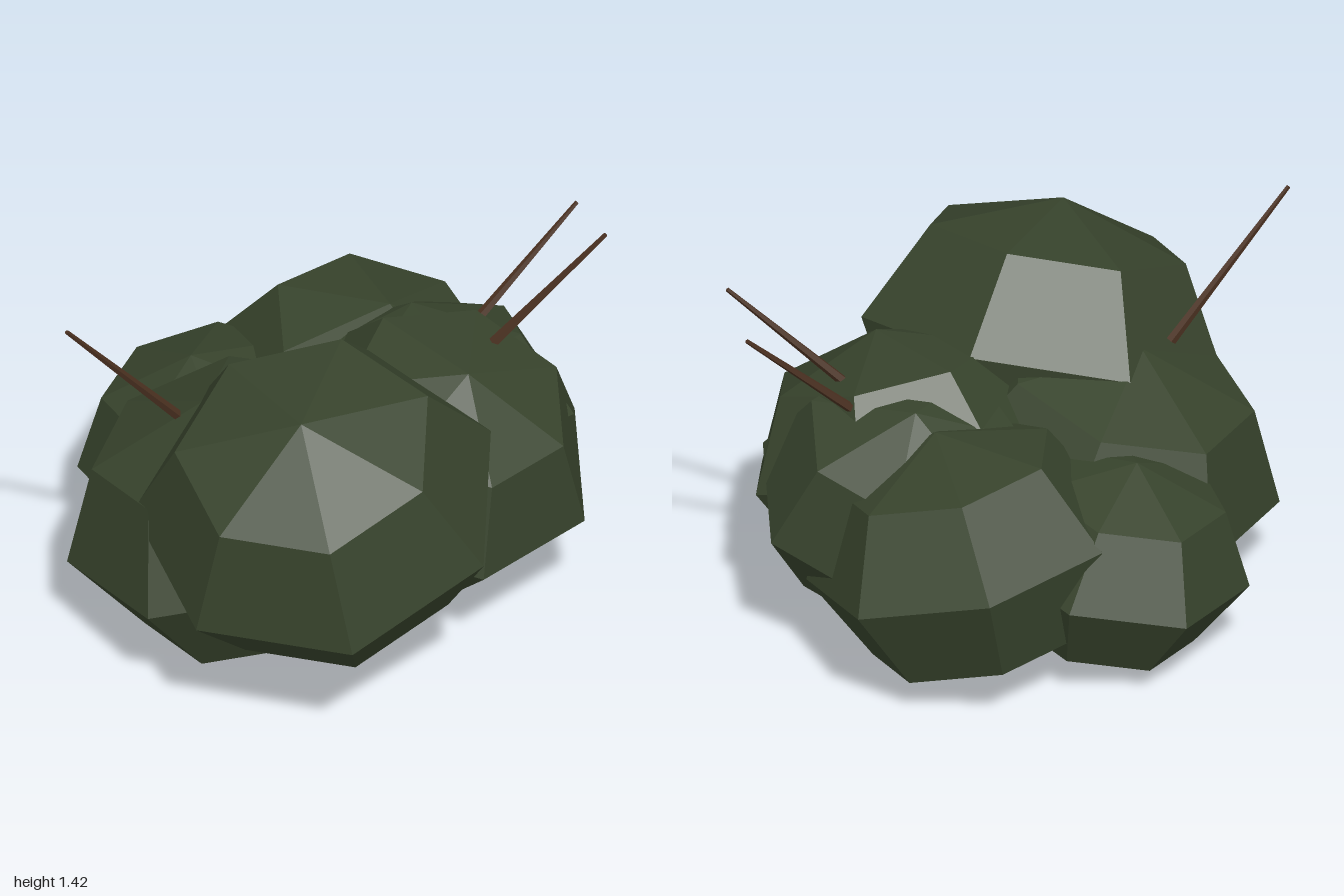
import * as THREE from 'three';

const leaf = new THREE.MeshStandardMaterial({ color: 0x37432c });
leaf.name = 'darkGreenLeaf';
const bark = new THREE.MeshStandardMaterial({ color: 0x4a3020 });
bark.name = 'brownBark';

// Faceted mesh: split faces so that each one is shaded flat
function facetedMesh(name, geometry, material) {
  const flat = geometry.toNonIndexed();
  flat.computeVertexNormals();
  const mesh = new THREE.Mesh(flat, material);
  mesh.name = name;
  return mesh;
}

// Foliage clump: a squashed seven-sided, four-tier ball, tilted along its axis, with a corner toward "corner"
function clump({ name, center, axis, corner, radius, height }) {
  const up = new THREE.Vector3(...axis).normalize();
  const side = new THREE.Vector3(...corner).projectOnPlane(up).normalize();
  const depth = new THREE.Vector3().crossVectors(side, up);
  const matrix = new THREE.Matrix4()
    .makeBasis(side, up, depth)
    .scale(new THREE.Vector3(radius, height, radius))
    .setPosition(...center);
  const geometry = new THREE.SphereGeometry(1, 7, 4).rotateY(Math.PI).applyMatrix4(matrix);
  return facetedMesh(name, geometry, leaf);
}

// Bare twig: a thin tapered stick between two points
function twig(name, base, tip) {
  const a = new THREE.Vector3(...base);
  const b = new THREE.Vector3(...tip);
  const geometry = new THREE.CylinderGeometry(0.008, 0.019, a.distanceTo(b), 5);
  const mesh = facetedMesh(name, geometry, bark);
  mesh.position.copy(a).lerp(b, 0.5);
  mesh.quaternion.setFromUnitVectors(new THREE.Vector3(0, 1, 0), b.sub(a).normalize());
  return mesh;
}

export function createModel() {
  const bush = new THREE.Group();
  bush.name = 'bush';

  const clumps = [
    { name: 'frontRightClump', center: [-0.37, 0.715, 0.37], axis: [-0.33, 0.92, 0.18], corner: [0.215, -0.06, 0.6], radius: 0.65, height: 0.495 },
    { name: 'frontLeftClump', center: [0.3, 0.56, 0.235], axis: [0, 0.93, 0.37], corner: [-0.05, 0.37, -0.93], radius: 0.565, height: 0.435 },
    { name: 'middleLeftClump', center: [0.435, 0.53, 0.025], axis: [0.1, 0.95, -0.28], corner: [0.525, -0.03, 0.05], radius: 0.535, height: 0.42 },
    { name: 'backLeftClump', center: [0.41, 0.45, -0.29], axis: [0.1, 0.97, 0.24], corner: [0.545, 0, -0.13], radius: 0.56, height: 0.455 },
    { name: 'backRightClump', center: [-0.335, 0.45, -0.07], axis: [-0.2, 0.95, -0.18], corner: [-0.61, -0.1, 0.185], radius: 0.63, height: 0.475 },
    { name: 'backClump', center: [-0.07, 0.38, -0.51], axis: [-0.16, 0.98, -0.13], corner: [0.03, -0.06, -0.48], radius: 0.48, height: 0.378 },
  ];
  clumps.forEach((c) => bush.add(clump(c)));

  bush.add(twig('rightTwig', [-0.55, 0.9, -0.165], [-0.99, 1.41, -0.245]));
  bush.add(twig('frontLeftTwig', [0.53, 0.9, 0.25], [0.89, 1.305, 0.45]));
  bush.add(twig('backLeftTwig', [0.59, 0.88, 0.095], [0.99, 1.26, 0.19]));

  return bush;
}
